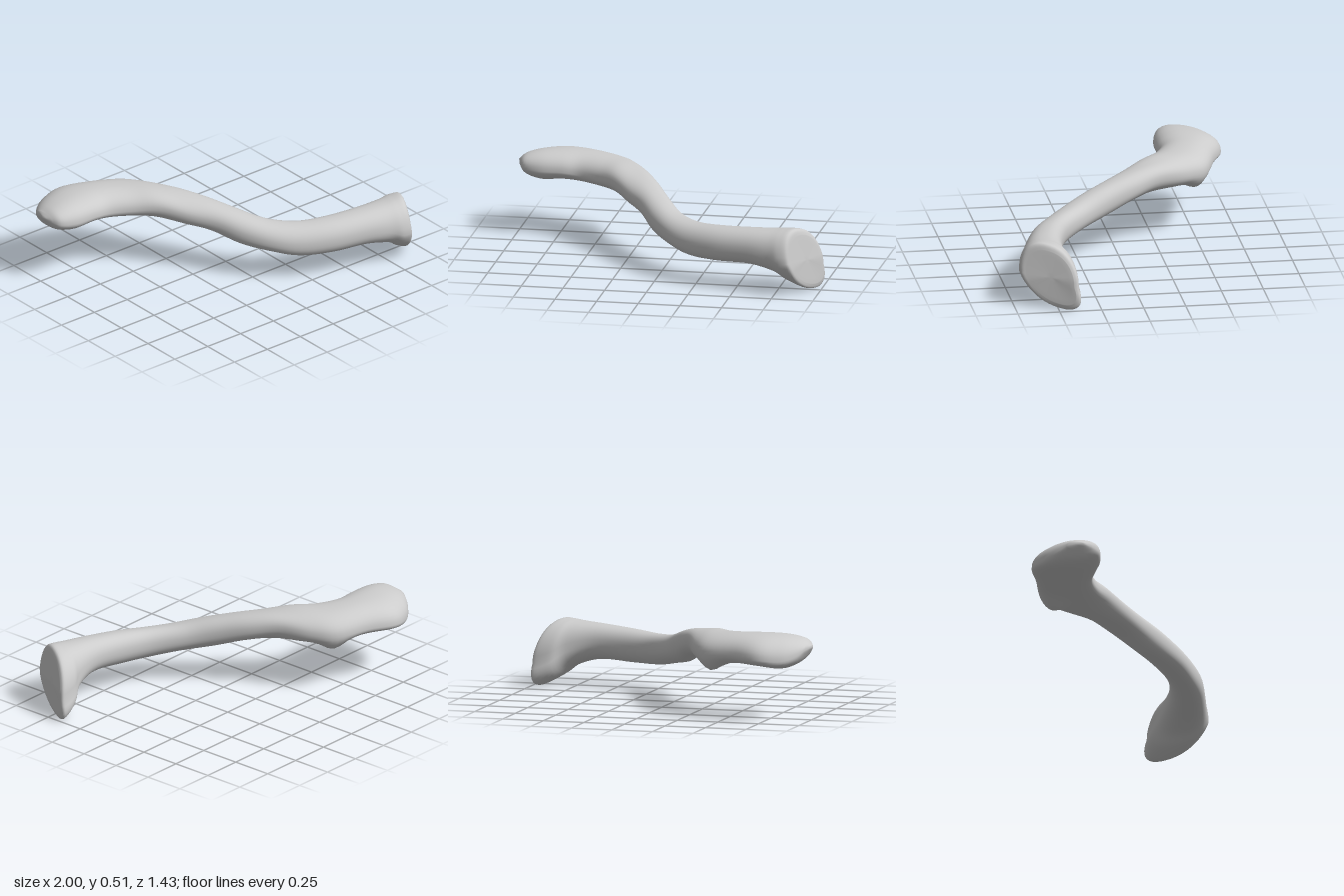
import * as THREE from 'three';

// Cross-sections from the flat outer end (-x) to the flared inner end (+x):
// back edge x, z, front edge x, z, back edge y, front edge y, top y, bottom y
const SECTIONS = [
  [-0.98, -0.56, -0.985, -0.42, 0.42, 0.42, 0.45, 0.40],
  [-0.93, -0.63, -0.95, -0.365, 0.38, 0.41, 0.475, 0.345],
  [-0.85, -0.69, -0.85, -0.335, 0.36, 0.40, 0.495, 0.315],
  [-0.72, -0.72, -0.72, -0.33, 0.37, 0.40, 0.503, 0.325],
  [-0.55, -0.655, -0.61, -0.325, 0.38, 0.39, 0.50, 0.325],
  [-0.36, -0.58, -0.49, -0.26, 0.37, 0.39, 0.49, 0.315],
  [-0.26, -0.46, -0.38, -0.16, 0.38, 0.40, 0.485, 0.31],
  [-0.17, -0.28, -0.27, -0.03, 0.40, 0.37, 0.465, 0.30],
  [-0.08, -0.13, -0.17, 0.09, 0.37, 0.34, 0.44, 0.275],
  [0.01, 0.03, -0.07, 0.245, 0.33, 0.29, 0.40, 0.22],
  [0.12, 0.19, 0.05, 0.385, 0.28, 0.25, 0.355, 0.185],
  [0.26, 0.32, 0.18, 0.485, 0.26, 0.23, 0.34, 0.155],
  [0.43, 0.39, 0.36, 0.575, 0.26, 0.24, 0.35, 0.15],
  [0.63, 0.43, 0.58, 0.645, 0.26, 0.25, 0.365, 0.155],
  [0.80, 0.42, 0.71, 0.685, 0.22, 0.23, 0.375, 0.115],
  [0.89, 0.385, 0.78, 0.71, 0.16, 0.20, 0.38, 0.05],
  [0.985, 0.385, 0.84, 0.71, 0.13, 0.20, 0.378, 0.003],
  [0.995, 0.415, 0.86, 0.68, 0.14, 0.20, 0.34, 0.035],
];
const SIDES = 40;
const STEPS = 5;

// Catmull-Rom blend of neighbouring sections
function sectionAt(i, t) {
  const at = (k) => SECTIONS[THREE.MathUtils.clamp(k, 0, SECTIONS.length - 1)];
  const [a, b, c, d] = [at(i - 1), at(i), at(i + 1), at(i + 2)];
  return b.map((v, k) => v + 0.5 * t * (c[k] - a[k]
    + t * (2 * a[k] - 5 * v + 4 * c[k] - d[k] + t * (3 * (v - c[k]) + d[k] - a[k]))));
}

const soften = (v) => Math.sign(v) * Math.abs(v) ** 0.88;

// Closed ring of points around one section
function ring([bx, bz, fx, fz, by, fy, top, bottom]) {
  const flare = THREE.MathUtils.smoothstep((bx + fx) / 2, 0.65, 0.93);
  const midY = (by + fy) / 2;
  const points = [];
  for (let j = 0; j < SIDES; j++) {
    const a = (j / SIDES) * Math.PI * 2;
    const h = soften(Math.sin(a));
    // the flared end narrows towards the lower back
    const w = soften(Math.cos(a)) + 0.35 * flare * Math.min(0, h);
    const p = new THREE.Vector3(
      (bx + fx) / 2 + w * (fx - bx) / 2,
      midY + soften(Math.cos(a)) * (fy - by) / 2 + h * (h > 0 ? top - midY : midY - bottom),
      (bz + fz) / 2 + w * (fz - bz) / 2);
    p.x -= 0.16 * flare * Math.max(0, p.y - midY);
    // small knob under the bend
    if (h < 0) {
      const d2 = (p.x + 0.38) ** 2 + (p.z + 0.53) ** 2;
      p.y += 0.06 * h * Math.exp(-d2 / 0.006);
    }
    points.push(p);
  }
  return points;
}

// Ring pulled towards a centre, for rounding off an end
const shrink = (points, centre, f) => points.map((p) => p.clone().lerp(centre, f));

function boneGeometry() {
  const rings = [];
  for (let i = 0; i < SECTIONS.length - 1; i++) {
    for (let s = 0; s < STEPS; s++) rings.push(ring(sectionAt(i, s / STEPS)));
  }
  rings.push(ring(SECTIONS[SECTIONS.length - 1]));

  // rounded outer tip and nearly flat inner joint face
  const tip = new THREE.Vector3(-1, 0.43, -0.48);
  const face = new THREE.Vector3(0.925, 0.19, 0.54);
  const last = rings[rings.length - 1];
  rings.unshift(shrink(rings[0], tip, 0.5));
  for (const f of [0.2, 0.5, 0.8]) rings.push(shrink(last, face, f));

  const points = rings.flat();
  const index = [];
  for (let i = 0; i < rings.length - 1; i++) {
    for (let j = 0; j < SIDES; j++) {
      const k = (j + 1) % SIDES;
      const a = i * SIDES + j, b = i * SIDES + k;
      index.push(a, a + SIDES, b + SIDES, a, b + SIDES, b);
    }
  }
  const end = (rings.length - 1) * SIDES;
  const tipId = points.push(tip) - 1;
  const faceId = points.push(face) - 1;
  for (let j = 0; j < SIDES; j++) {
    const k = (j + 1) % SIDES;
    index.push(tipId, j, k, faceId, end + k, end + j);
  }
  const geometry = new THREE.BufferGeometry().setFromPoints(points);
  geometry.setIndex(index);
  geometry.computeVertexNormals();
  return geometry;
}

export function createModel() {
  const group = new THREE.Group();
  group.name = 'collarbone';
  const bone = new THREE.MeshStandardMaterial({ color: 0xcccccc });
  bone.name = 'boneGrey';
  const mesh = new THREE.Mesh(boneGeometry(), bone);
  mesh.name = 'boneShaft';
  group.add(mesh);
  return group;
}
